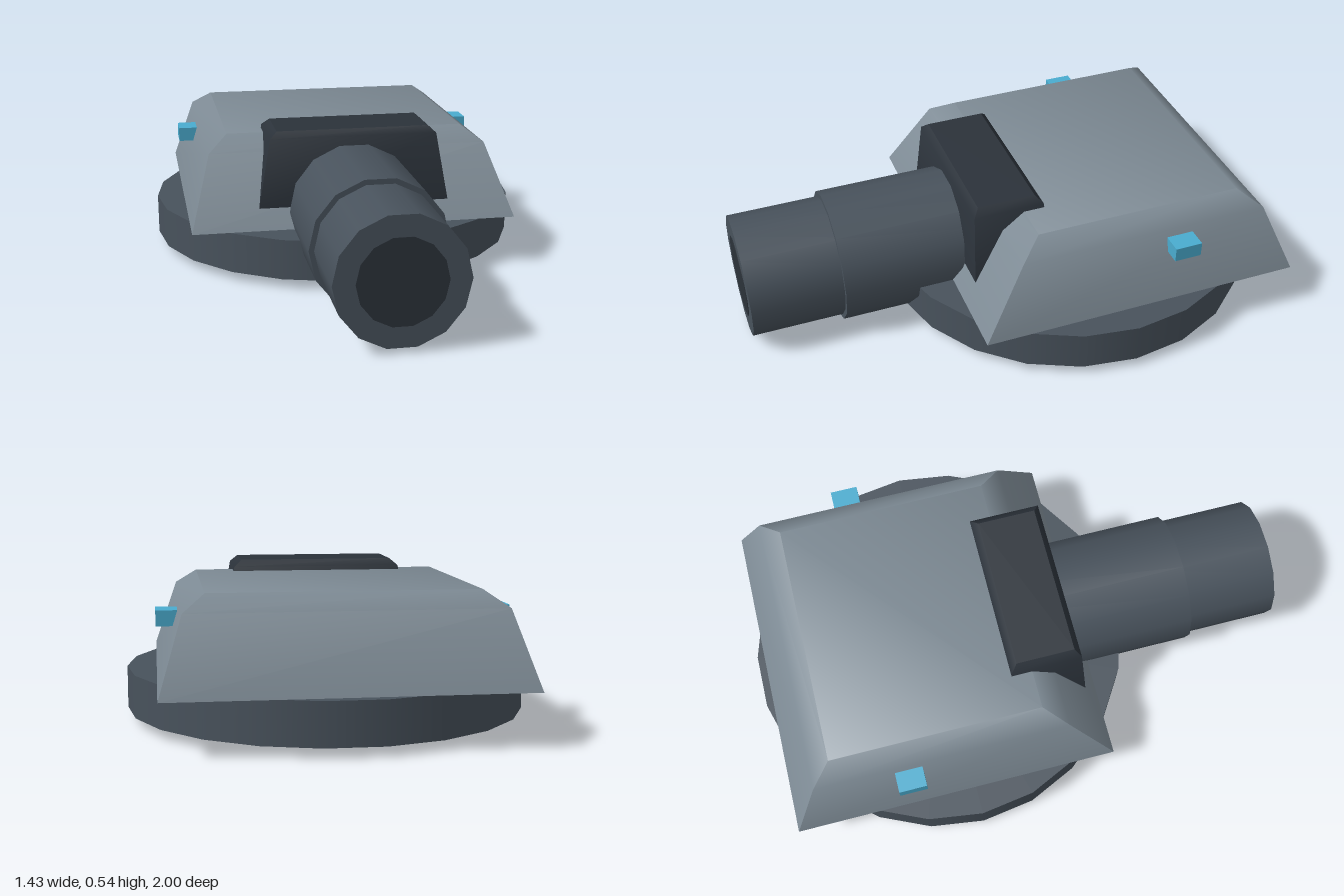
import * as THREE from 'three';
import { toCreasedNormals } from 'three/addons/utils/BufferGeometryUtils.js';

const paint = (color) => new THREE.MeshStandardMaterial({ color });

// Rectangular sections [halfWidth, y, zFront, zBack], from bottom to top, capped at both ends
function loftedBlock(sections, crease) {
  const pos = [];
  const index = [];
  for (const [w, y, zf, zb] of sections) pos.push(-w, y, zf, w, y, zf, w, y, zb, -w, y, zb);
  for (let s = 0; s < sections.length - 1; s++) {
    for (let i = 0; i < 4; i++) {
      const a = s * 4 + i, b = s * 4 + (i + 1) % 4;
      index.push(a, b, b + 4, a, b + 4, a + 4);
    }
  }
  const t = (sections.length - 1) * 4;
  index.push(0, 2, 1, 0, 3, 2, t, t + 1, t + 2, t, t + 2, t + 3);
  const geo = new THREE.BufferGeometry();
  geo.setAttribute('position', new THREE.Float32BufferAttribute(pos, 3));
  geo.setIndex(index);
  return toCreasedNormals(geo, crease);
}

export function createModel() {
  const model = new THREE.Group();
  model.name = 'turret';
  const steel = paint(0x48525c);
  const armour = paint(0x7d8a94);
  const dark = paint(0x2b323a);
  const glow = paint(0x4aaccf);

  const add = (name, geometry, material, x = 0, y = 0, z = 0) => {
    const mesh = new THREE.Mesh(geometry, material);
    mesh.name = name;
    mesh.position.set(x, y, z);
    model.add(mesh);
    return mesh;
  };

  // Round turning base; a corner of the polygon points to each side
  add('turningBase', new THREE.CylinderGeometry(0.714, 0.714, 0.15, 22).rotateY(Math.PI / 2),
    steel, 0, 0.11, -0.292);

  // Sloped armoured housing with a bevelled roof
  add('housing', loftedBlock([
    [0.61, 0.187, 0.248, -0.972],
    [0.53, 0.445, 0.085, -0.862],
    [0.455, 0.5, 0, -0.785],
  ], 0.72), armour);

  // Dark shield around the root of the barrel
  add('gunShield', loftedBlock([
    [0.36, 0.25, 0.203, -0.1],
    [0.313, 0.515, 0.187, -0.077],
    [0.285, 0.54, 0.165, -0.052],
  ], 0.72), dark);

  // Stepped barrel: 14-sided tubes along z, flat side down
  const tube = (name, radius, zBack, zFront, material, sides = 14) => {
    const geo = new THREE.CylinderGeometry(radius, radius, zFront - zBack, sides);
    geo.rotateY(Math.PI / 2).rotateX(Math.PI / 2);
    add(name, geo, material, 0, 0.241, (zFront + zBack) / 2);
  };
  tube('barrelSleeve', 0.246, -0.152, 0.657, steel);
  tube('barrel', 0.227, 0.6, 0.998, steel);
  tube('muzzleBore', 0.152, 0.95, 1, dark);

  // Small lights on both flanks
  for (const side of [1, -1]) {
    add(side > 0 ? 'leftLight' : 'rightLight', new THREE.BoxGeometry(0.075, 0.054, 0.102),
      glow, side * 0.574, 0.392, -0.518);
  }
  return model;
}
